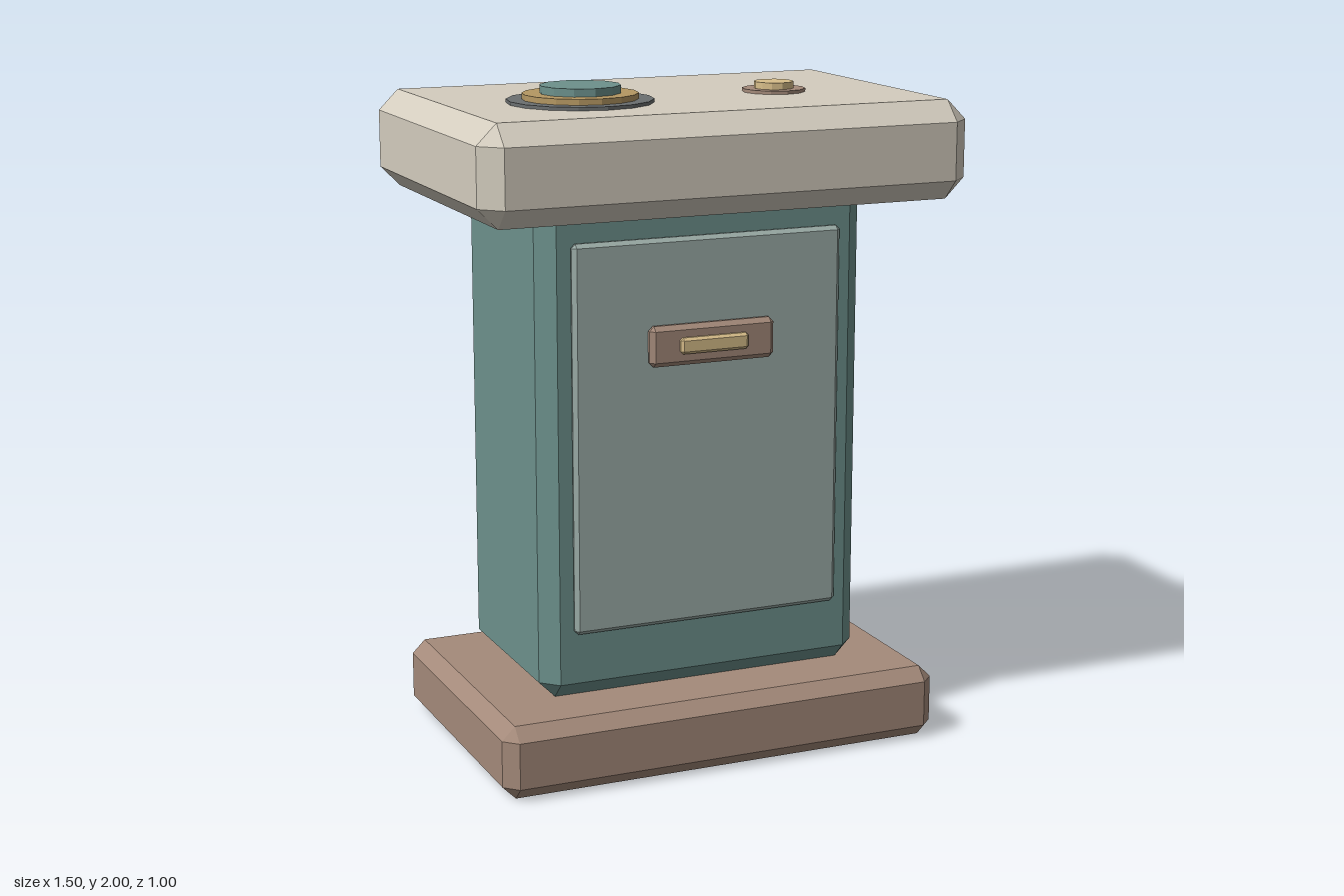
import * as THREE from 'three';
import { ConvexGeometry } from 'three/addons/geometries/ConvexGeometry.js';

const mat = (color) => new THREE.MeshStandardMaterial({ color, flatShading: true });
const cream = mat(0xd4cdbf), teal = mat(0x6d918c), sage = mat(0x9cada8), brown = mat(0xa48a7a);
const gold = mat(0xd8be8a), ochre = mat(0xb59863), slate = mat(0x6b6f70);

// Box with every edge cut at 45 degrees, given by its min and max corners
function chamferBox(name, material, [x0, y0, z0], [x1, y1, z1], c) {
  const h = [(x1 - x0) / 2, (y1 - y0) / 2, (z1 - z0) / 2];
  const points = [];
  for (const sx of [-1, 1]) for (const sy of [-1, 1]) for (const sz of [-1, 1]) {
    for (let full = 0; full < 3; full++) {
      const [x, y, z] = h.map((v, i) => (i === full ? v : v - c));
      points.push(new THREE.Vector3(sx * x, sy * y, sz * z));
    }
  }
  const mesh = new THREE.Mesh(new ConvexGeometry(points), material);
  mesh.position.set((x0 + x1) / 2, (y0 + y1) / 2, (z0 + z1) / 2);
  mesh.name = name;
  return mesh;
}

// Upright disc between two heights
function disc(name, material, r, sides, x, z, y0, y1) {
  const mesh = new THREE.Mesh(new THREE.CylinderGeometry(r, r, y1 - y0, sides), material);
  mesh.position.set(x, (y0 + y1) / 2, z);
  mesh.name = name;
  return mesh;
}

export function createModel() {
  const model = new THREE.Group();
  model.name = 'pedestal';

  // Base, cabinet and top slab
  model.add(
    chamferBox('base', brown, [-0.695, 0, -0.455], [0.695, 0.22, 0.455], 0.04),
    chamferBox('cabinet', teal, [-0.512, 0.22, -0.355], [0.512, 1.72, 0.28], 0.05),
    chamferBox('topSlab', cream, [-0.75, 1.66, -0.5], [0.75, 1.95, 0.5], 0.06),
  );

  // Front door with its handle
  model.add(
    chamferBox('door', sage, [-0.422, 0.424, 0.275], [0.422, 1.578, 0.305], 0.012),
    chamferBox('handlePlate', brown, [-0.196, 1.208, 0.298], [0.196, 1.328, 0.335], 0.014),
    chamferBox('handleBar', gold, [-0.107, 1.244, 0.325], [0.107, 1.292, 0.35], 0.008),
  );

  // Large stepped dial
  const dial = new THREE.Group();
  dial.name = 'dial';
  dial.add(
    disc('dialRim', slate, 0.213, 16, -0.31, 0.085, 1.945, 1.96),
    disc('dialRing', ochre, 0.168, 16, -0.31, 0.085, 1.95, 1.977),
    disc('dialKnob', teal, 0.118, 12, -0.31, 0.085, 1.96, 2),
  );

  // Small push button
  const button = new THREE.Group();
  button.name = 'button';
  button.add(
    disc('buttonRim', brown, 0.094, 12, 0.317, 0.057, 1.945, 1.96),
    disc('buttonCap', gold, 0.059, 12, 0.317, 0.057, 1.95, 1.98),
  );
  model.add(dial, button);
  return model;
}
